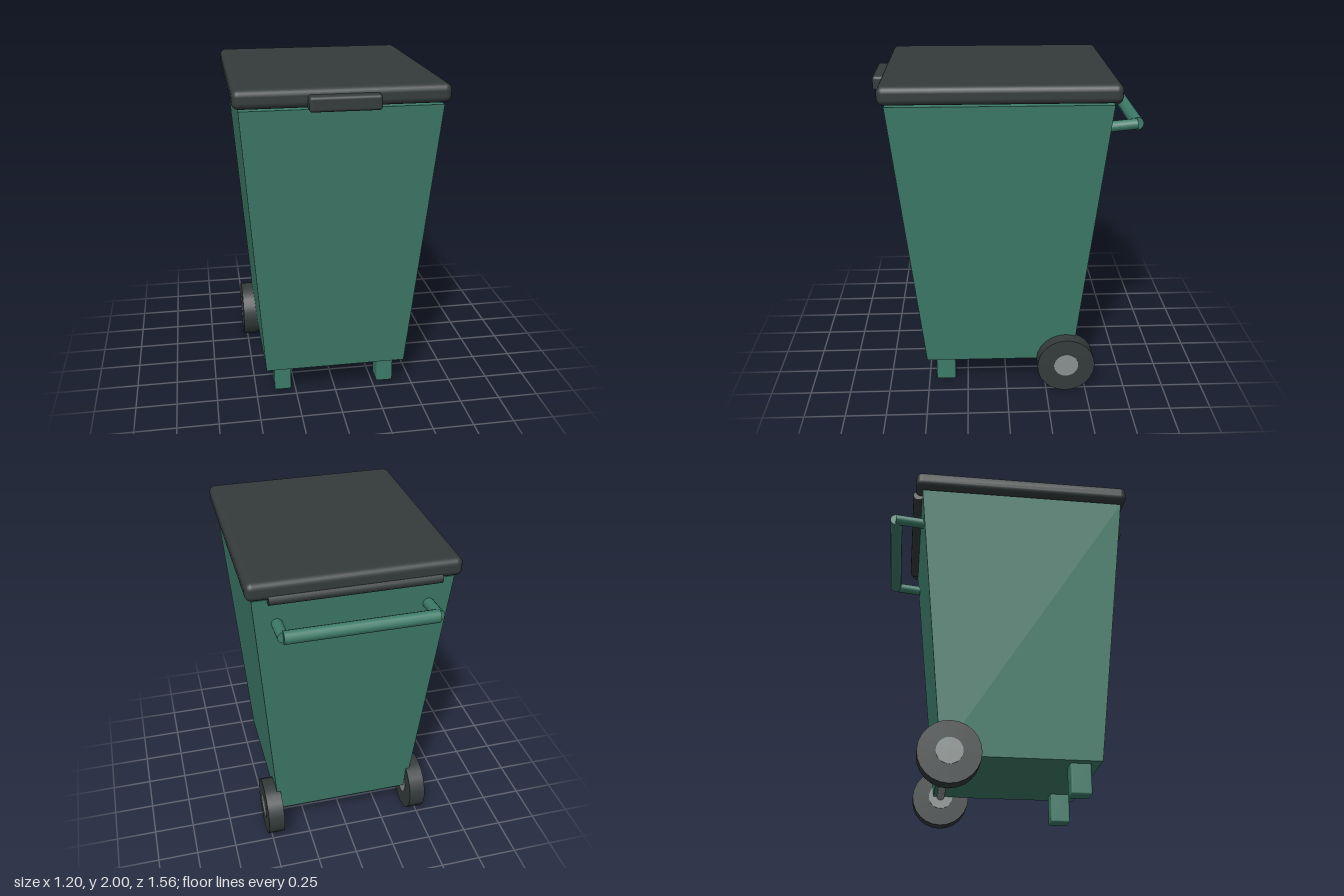
import * as THREE from 'three';
import { RoundedBoxGeometry } from 'three/addons/geometries/RoundedBoxGeometry.js';

const mat = (name, color) => new THREE.MeshStandardMaterial({ name, color });

export function createModel() {
  const group = new THREE.Group();
  group.name = 'wheeledBin';
  const green = mat('bin green', 0x3d7b68);
  const dark = mat('charcoal plastic', 0x353b3b);
  const grey = mat('grey metal', 0x8a9190);

  const add = (name, geometry, material, x, y, z) => {
    const mesh = new THREE.Mesh(geometry, material);
    mesh.name = name;
    mesh.position.set(x, y, z);
    group.add(mesh);
    return mesh;
  };
  // Cylinder lying along x
  const rod = (radius, length, sides) =>
    new THREE.CylinderGeometry(radius, radius, length, sides).rotateZ(Math.PI / 2);

  // Tapered body: a box whose corners move to the top or bottom rectangle
  const bodyGeo = new THREE.BoxGeometry(1, 1, 1);
  const p = bodyGeo.attributes.position;
  for (let i = 0; i < p.count; i++) {
    const top = p.getY(i) > 0;
    const [halfX, front, back, y] = top ? [0.565, 0.68, -0.593, 1.88] : [0.438, 0.507, -0.42, 0.187];
    p.setXYZ(i, Math.sign(p.getX(i)) * halfX, y, p.getZ(i) > 0 ? front : back);
  }
  bodyGeo.computeVertexNormals();
  add('body', bodyGeo, green, 0, 0, 0);

  // Lid with front grip and rear hinge
  add('lid', new RoundedBoxGeometry(1.196, 0.108, 1.352, 3, 0.038), dark, 0, 1.946, 0.04);
  add('lidGrip', new RoundedBoxGeometry(0.394, 0.085, 0.12, 3, 0.018), dark, 0, 1.925, 0.718);
  add('hinge', rod(0.032, 0.96, 14), dark, 0, 1.895, -0.617);

  // Rear push handle
  add('handleBar', rod(0.038, 0.86, 14), green, 0, 1.735, -0.748);

  // Axle between the wheels
  add('axle', rod(0.025, 0.94, 12), grey, 0, 0.187, -0.373);

  for (const side of [-1, 1]) {
    const label = side > 0 ? 'left' : 'right';
    const arm = add(label + 'HandleArm', new THREE.CylinderGeometry(0.032, 0.032, 0.2, 12),
      green, side * 0.43, 1.725, -0.649);
    arm.rotation.x = -Math.PI / 2 + 0.1;
    add(label + 'Wheel', rod(0.181, 0.102, 24), dark, side * 0.477, 0.182, -0.373);
    add(label + 'Hub', rod(0.077, 0.108, 20), grey, side * 0.477, 0.186, -0.373);
    add(label + 'FrontFoot', new RoundedBoxGeometry(0.106, 0.2, 0.124, 2, 0.012),
      green, side * 0.33, 0.106, 0.39);
  }
  return group;
}
